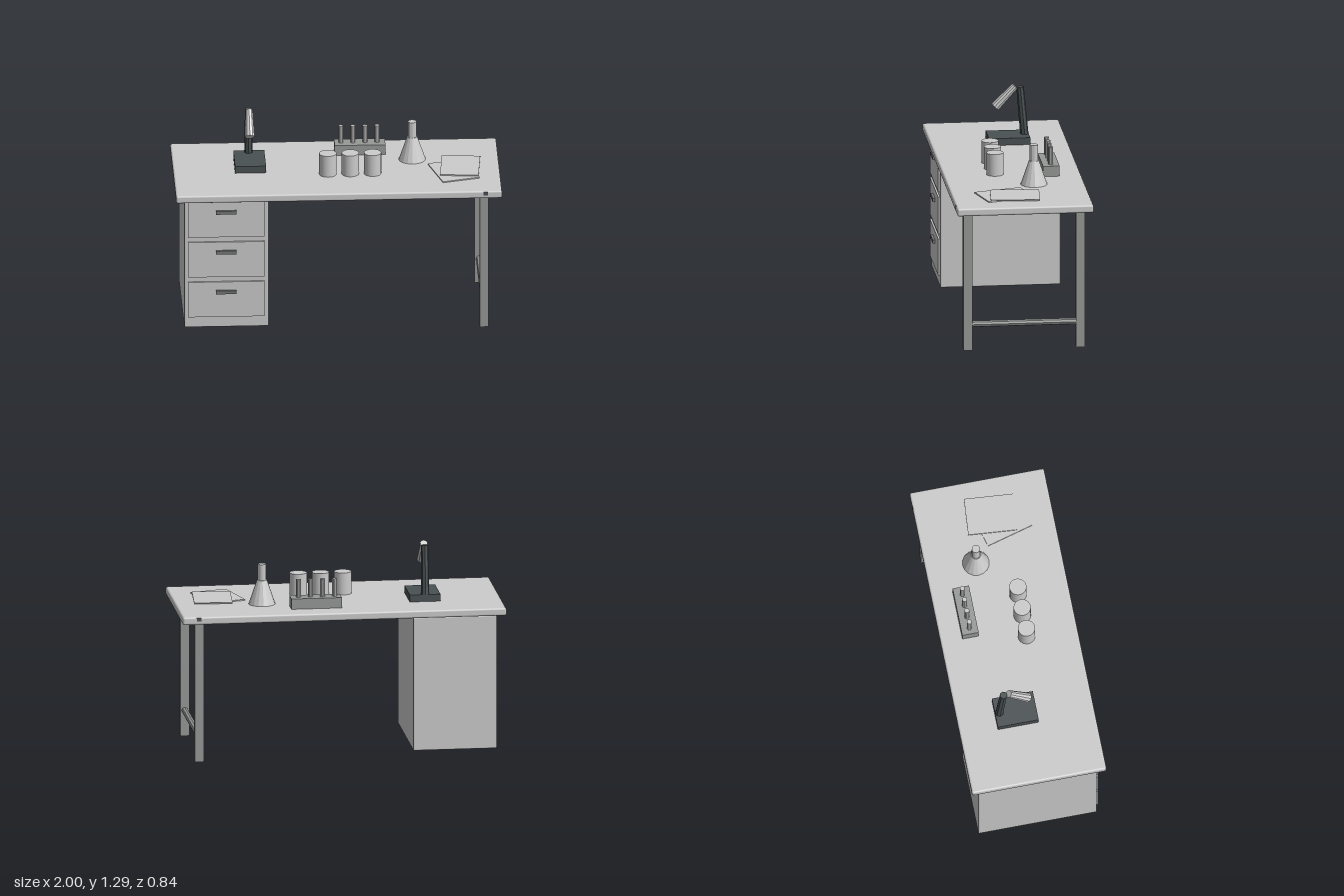
import * as THREE from 'three';
import { RoundedBoxGeometry } from 'three/addons/geometries/RoundedBoxGeometry.js';

const paint = (name, color) => {
  const m = new THREE.MeshStandardMaterial({ color });
  m.name = name;
  return m;
};

export function createModel() {
  const light = paint('lightGrey', 0xcccccc);
  const mid = paint('midGrey', 0x979a98);
  const handleGrey = paint('handleGrey', 0x757877);
  const dark = paint('darkGrey', 0x4a5153);
  const desk = new THREE.Group();
  desk.name = 'desk';

  const add = (name, geometry, material, x, y, z, parent = desk) => {
    const mesh = new THREE.Mesh(geometry, material);
    mesh.name = name;
    mesh.position.set(x, y, z);
    parent.add(mesh);
    return mesh;
  };
  // Box given by its minimum and maximum corners, optionally with softened edges
  const box = (name, mat, [x0, x1], [y0, y1], [z0, z1], bevel = 0) => {
    const size = [x1 - x0, y1 - y0, z1 - z0];
    const geo = bevel ? new RoundedBoxGeometry(...size, 2, bevel) : new THREE.BoxGeometry(...size);
    return add(name, geo, mat, (x0 + x1) / 2, (y0 + y1) / 2, (z0 + z1) / 2);
  };
  // Faceted rod between two points
  const rod = (name, mat, from, to, r0, r1, sides) => {
    const a = new THREE.Vector3(...from), b = new THREE.Vector3(...to);
    const dir = b.clone().sub(a);
    const geo = new THREE.CylinderGeometry(r1, r0, dir.length(), sides).toNonIndexed();
    geo.computeVertexNormals();
    const c = a.add(b).multiplyScalar(0.5);
    const mesh = add(name, geo, mat, c.x, c.y, c.z);
    mesh.quaternion.setFromUnitVectors(new THREE.Vector3(0, 1, 0), dir.normalize());
    return mesh;
  };

  const top = 0.922;

  // Worktop
  box('worktop', light, [-1, 1], [0.873, top], [-0.42, 0.42], 0.012);
  for (const s of [-1, 1]) {
    add('edgeMark', new THREE.BoxGeometry(0.03, 0.022, 0.004), dark, 0.9, 0.906, s * 0.419);
  }

  // Drawer cabinet
  box('cabinet', light, [-0.947, -0.43], [0.028, 0.868], [-0.37, 0.37], 0.008);
  for (const y of [0.1, 0.365, 0.63]) {
    box('drawerFront', light, [-0.925, -0.455], [y, y + 0.232], [0.365, 0.381]);
    box('drawerHandle', handleGrey, [-0.753, -0.627], [y + 0.156, y + 0.178], [0.378, 0.396]);
  }

  // Legs and stretcher
  for (const s of [-1, 1]) {
    add('leg', new THREE.BoxGeometry(0.055, 0.875, 0.053), mid, 0.893, 0.4375, s * 0.347);
  }
  rod('stretcher', mid, [0.893, 0.16, -0.33], [0.893, 0.16, 0.33], 0.02, 0.02, 8);

  // Desk lamp
  box('lampBase', dark, [-0.622, -0.432], [top, 0.966], [-0.185, 0.07]);
  rod('lampArm', dark, [-0.53, 0.945, -0.16], [-0.53, 1.265, -0.132], 0.026, 0.023, 8);
  rod('lampHead', light, [-0.53, 1.27, -0.1], [-0.53, 1.142, 0.021], 0.023, 0.03, 10);

  // Row of cups
  for (const x of [-0.055, 0.083, 0.22]) {
    add('cup', new THREE.CylinderGeometry(0.053, 0.053, 0.138, 24), light, x, top + 0.069, 0.105);
  }

  // Rack with four tubes
  box('tubeRack', mid, [0, 0.312], [top, 0.987], [-0.285, -0.183]);
  for (let i = 0; i < 4; i++) {
    rod('testTube', light, [0.04 + i * 0.074, 0.95, -0.234], [0.04 + i * 0.074, 1.098, -0.234], 0.015, 0.015, 10);
  }

  // Conical flask
  rod('flaskBody', light, [0.472, top, -0.108], [0.472, 1.072, -0.108], 0.083, 0.031, 16);
  rod('flaskNeck', light, [0.472, 1.06, -0.108], [0.472, 1.172, -0.108], 0.026, 0.026, 12);

  // Two loose sheets
  const sheet = new THREE.BoxGeometry(0.236, 0.007, 0.302);
  add('lowerSheet', sheet, light, 0.718, 0.926, 0.1).rotation.y = 0.27;
  add('upperSheet', sheet, light, 0.76, 0.9335, 0.04).rotation.y = -0.08;

  return desk;
}
